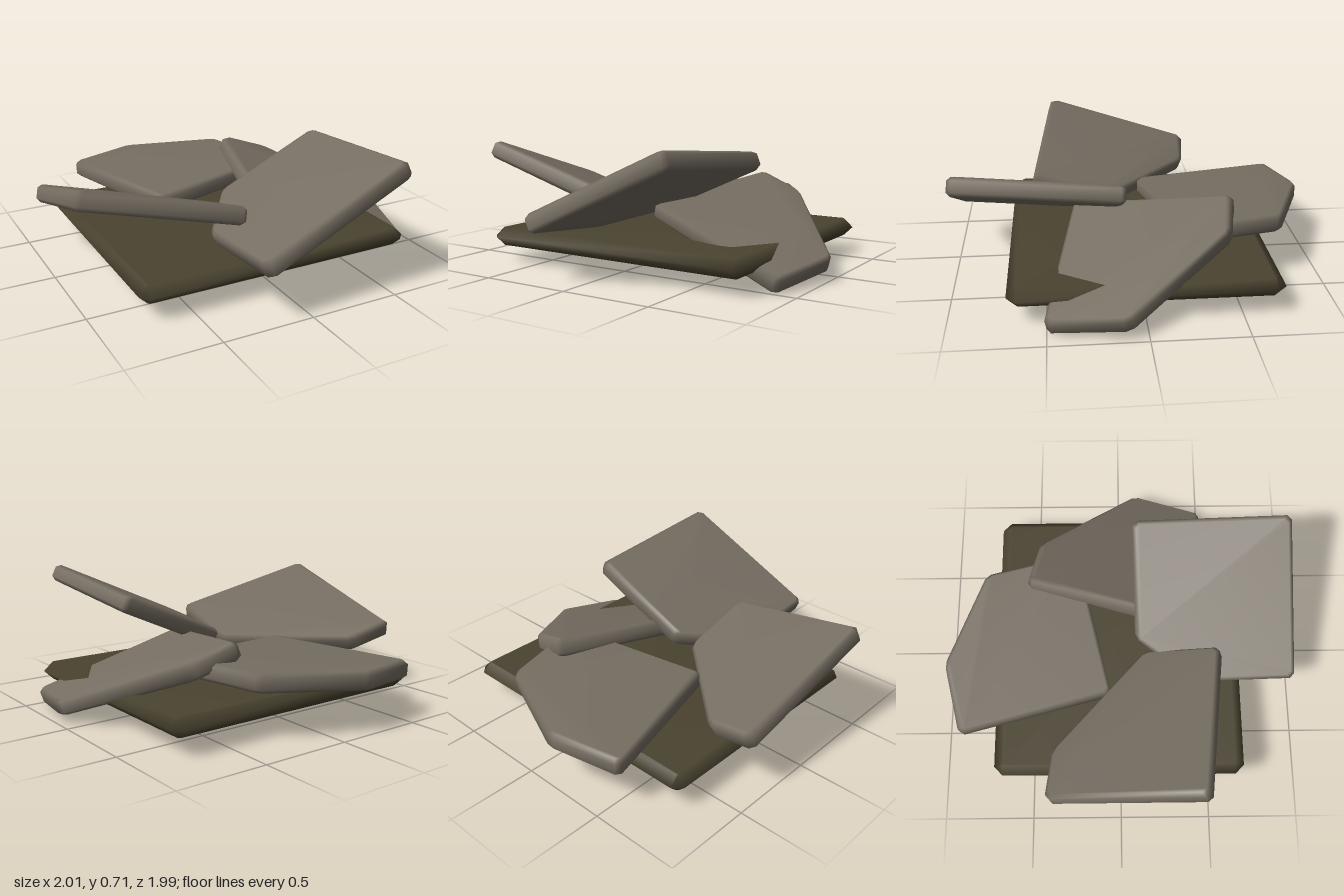
import * as THREE from 'three';

const stone = new THREE.MeshStandardMaterial({ name: 'grey stone', color: 0x766e62 });
const earth = new THREE.MeshStandardMaterial({ name: 'dark earth', color: 0x4a4330 });

// Shrink a clockwise (seen from above) outline by d.
function inset(pts, d) {
  return pts.map((p, i) => {
    const prev = pts[(i + pts.length - 1) % pts.length];
    const next = pts[(i + 1) % pts.length];
    const e1 = p.clone().sub(prev).normalize();
    const e2 = next.clone().sub(p).normalize();
    const n1 = new THREE.Vector2(-e1.y, e1.x);
    const n2 = new THREE.Vector2(-e2.y, e2.x);
    return n1.clone().add(n2).multiplyScalar(d / (1 + n1.dot(n2))).add(p);
  });
}

// Replace every corner with a short cut of length c along both edges.
function cutCorners(pts, c) {
  return pts.flatMap((p, i) => {
    const prev = pts[(i + pts.length - 1) % pts.length];
    const next = pts[(i + 1) % pts.length];
    return [prev, next].map((q) => q.clone().sub(p).setLength(c).add(p));
  });
}

// Bevelled slab: plan outline [x, z], mid-plane y = y0 + sx*x + sz*z,
// and rings of [height off the mid-plane, inset, corner cut] from top to bottom.
function makeSlab(name, outline, [y0, sx, sz], rings, material) {
  const base = outline.map(([x, z]) => new THREE.Vector2(x, z));
  const n = new THREE.Vector3(-sx, 1, -sz).normalize();
  const count = base.length * 2;
  const positions = [];
  const index = [];
  rings.forEach(([h, d, c], r) => {
    for (const p of cutCorners(inset(base, d), c)) {
      positions.push(p.x + n.x * h, y0 + sx * p.x + sz * p.y + n.y * h, p.y + n.z * h);
    }
    if (r === 0) return;
    for (let i = 0; i < count; i++) {
      const j = (i + 1) % count;
      const a = (r - 1) * count, b = r * count;
      index.push(a + i, a + j, b + j, a + i, b + j, b + i);
    }
  });
  const last = (rings.length - 1) * count;
  for (let i = 1; i < count - 1; i++) {
    index.push(0, i + 1, i, last, last + i, last + i + 1);
  }
  const geo = new THREE.BufferGeometry();
  geo.setAttribute('position', new THREE.Float32BufferAttribute(positions, 3));
  geo.setIndex(index);
  geo.computeVertexNormals();
  const mesh = new THREE.Mesh(geo, material);
  mesh.name = name;
  return mesh;
}

export function createModel() {
  const group = new THREE.Group();
  group.name = 'stoneSlabPile';

  // Ground plate with a pointed rim
  group.add(makeSlab('basePlate',
    [[-0.78, -0.72], [0.81, -0.72], [0.81, 0.70], [-0.78, 0.70]],
    [0.16, 0, 0],
    [[0.05, 0.05, 0.01], [0, 0, 0.05], [-0.05, 0.05, 0.01]], earth));

  // Tilted stone slabs
  const rim = [[0.05, 0.02, 0.02], [0.03, 0, 0.025], [-0.03, 0, 0.025], [-0.05, 0.02, 0.02]];
  const slabs = [
    ['frontSlab', [[-0.02, 0.09], [0.585, 0.08], [0.575, 0.97], [-0.26, 0.99], [-0.26, 0.42]],
      [0.345, 0.455, 0.09]],
    ['rightSlab', [[-0.96, -0.405], [-0.68, -0.37], [-0.11, 0.15], [-0.13, 0.57], [-1.0, 0.46]],
      [0.216, -0.28, 0.30]],
    ['backSlab', [[-0.57, -0.905], [-0.17, -1.0], [0.37, -0.78], [0.5, -0.25], [-0.35, -0.05]],
      [0.315, 0.05, 0.005]],
    ['leftSlab', [[0.28, -0.53], [0.55, -0.47], [1.0, 0.1], [0.9, 0.51], [0.06, 0.33]],
      [0.42, -0.295, -0.19]],
  ];
  for (const [name, outline, plane] of slabs) {
    group.add(makeSlab(name, outline, plane, rim, stone));
  }
  return group;
}
